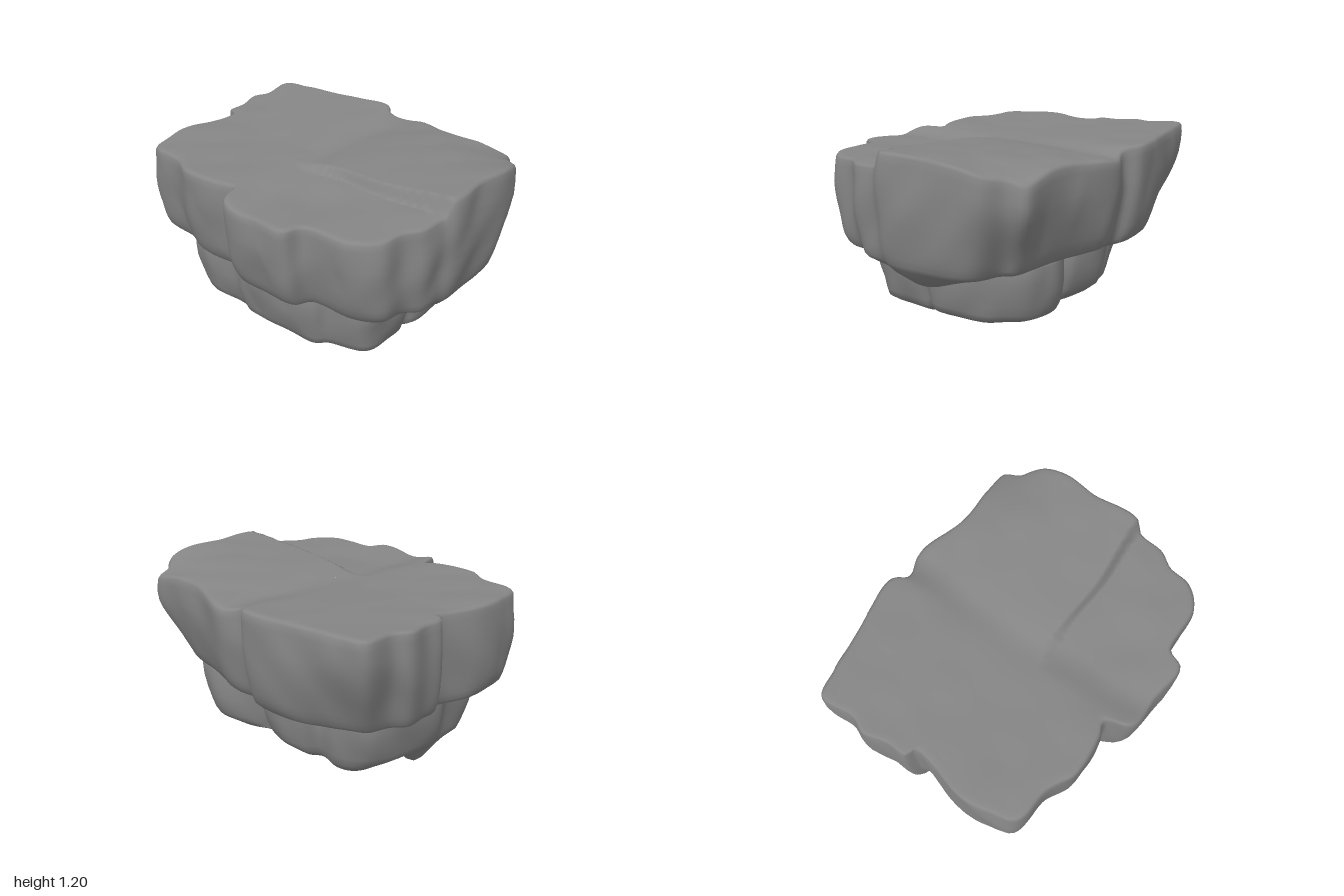
import * as THREE from 'three';

const SEGMENTS = 240;
const material = new THREE.MeshStandardMaterial({ color: 0x868686 });
const { smoothstep, lerp } = THREE.MathUtils;
const bump = (x, z, cx, cz, r) => Math.exp(-((x - cx) ** 2 + (z - cz) ** 2) / (r * r));

// Soft, repeatable unevenness, with sharper chiselled valleys mixed in
const rough = (x, y, z) =>
  Math.sin(7 * x + 3 * y + 1) * Math.sin(6 * z - 4 * y + 2) * 0.5 +
  Math.sin(15 * x - 9 * y) * Math.sin(14 * z + 8 * y + 1) * 0.4 +
  (Math.abs(Math.sin(9 * x + 5 * z + 4 * y)) - 0.6) * Math.sin(8 * z - 6 * x + 7 * y) * 0.7;

// Closed rock from a plan outline and rings of [x scale, z scale, level];
// shape(x, z, level) gives each vertex as [x, y, z].
function rockLayer(name, outline, rings, shape, roughness) {
  const curve = new THREE.CatmullRomCurve3(
    outline.map(([x, z]) => new THREE.Vector3(x, 0, z)), true, 'centripetal');
  const plan = curve.getSpacedPoints(SEGMENTS).slice(0, SEGMENTS);
  const meanRadius = plan.reduce((sum, p) => sum + p.length(), 0) / SEGMENTS;
  const positions = [], index = [];
  rings.forEach(([sx, sz, level], i) => {
    // Inner rings turn round, so outline notches stay at the rim
    const round = 1 - smoothstep(sx, 0.35, 0.93);
    plan.forEach((p, j) => {
      const len = p.length();
      const k = lerp(1, meanRadius / len, round);
      const [x, y, z] = shape(p.x * k * sx, p.z * k * sz, level);
      const n = rough(x, y, z) * roughness * Math.min(1, sx * 1.2);
      positions.push(x + (p.x / len) * n * sx, y + n * 0.4, z + (p.z / len) * n * sz);
      if (i < rings.length - 1) {
        const next = (j + 1) % SEGMENTS;
        const a = i * SEGMENTS + j, b = i * SEGMENTS + next;
        index.push(a, b, a + SEGMENTS, b, b + SEGMENTS, a + SEGMENTS);
      }
    });
  });
  const geometry = new THREE.BufferGeometry();
  geometry.setAttribute('position', new THREE.Float32BufferAttribute(positions, 3));
  geometry.setIndex(index);
  geometry.computeVertexNormals();
  const mesh = new THREE.Mesh(geometry, material);
  mesh.name = name;
  return mesh;
}

// Top of the slab: tilted plates with a step along the front left one
function slabTop(x, z) {
  const left = smoothstep(x, -0.14, 0.08);
  const lowPlate = 1.113 + 0.02 * Math.abs(x) + 0.05 * Math.max(0, -z);
  const highPlate = 1.137 + 0.06 * x - 0.06 * (z + 0.1) ** 2 - 0.075 * bump(x, z, 0.9, -0.76, 0.24);
  const frontPlate = 1.1 - 0.015 * z - 0.02 * bump(x, z, 0.25, 0.45, 0.2);
  const ledge = smoothstep(z + 0.012 * Math.sin(x * 9), 0.15, 0.18);
  const valley = 0.015 * Math.exp(-((x / 0.12) ** 2));
  return lerp(lowPlate, lerp(highPlate, frontPlate, ledge), left) - valley;
}

// Slab walls draw in at the back corners; the underside sags on the left
function slabShape(x, z, t) {
  const wall = smoothstep(t, 0.15, 1);
  const cornerLeft = bump(x, z, 0.86, -0.7, 0.27);
  const cornerRight = bump(x, z, -0.93, -0.68, 0.27);
  const pull = 1 - wall * (0.15 * cornerLeft + 0.1 * cornerRight);
  const sag = 0.1 * smoothstep(t, 0.98, 1.06) * bump(x, z, 0.72, 0, 0.25);
  const bottom = 0.56 + 0.01 * Math.sin(5 * x) - 0.02 * bump(x, z, 0.95, 0, 0.25);
  return [x * pull, lerp(slabTop(x, z), bottom, t) - sag, z * pull];
}

function createSlab() {
  const outline = [
    [-0.96, -0.7], [-0.8, -0.75], [-0.66, -0.77], [-0.5, -0.81], [-0.25, -0.84], [-0.15, -0.83],
    [-0.1, -0.78], [0.05, -0.81], [0.2, -0.79], [0.4, -0.74], [0.6, -0.73], [0.82, -0.73],
    [0.86, -0.63], [0.97, -0.55], [1, -0.4], [0.98, -0.1], [0.975, 0.13], [0.945, 0.19],
    [0.94, 0.35], [0.87, 0.45], [0.84, 0.6], [0.7, 0.7], [0.42, 0.72], [0.36, 0.82],
    [0.2, 0.82], [-0.1, 0.78], [-0.17, 0.65], [-0.25, 0.67], [-0.5, 0.68], [-0.68, 0.61],
    [-0.92, 0.57], [-0.96, 0.4], [-0.97, 0.2], [-0.9, -0.1], [-0.96, -0.13], [-0.97, -0.25],
    [-1, -0.4], [-0.96, -0.5],
  ];
  const rings = [];
  for (let i = 0; i <= 32; i++) {
    const s = Math.max(0.001, (0.965 * i) / 32);
    rings.push([s, s, 0]);
  }
  rings.push(
    [0.978, 0.982, 0.01], [0.985, 0.995, 0.035], [0.99, 1, 0.1], [0.995, 1, 0.2], [1, 1, 0.3],
    [1, 0.995, 0.4], [1, 0.985, 0.5], [0.995, 0.975, 0.6], [0.99, 0.96, 0.7], [0.983, 0.945, 0.8],
    [0.975, 0.925, 0.88], [0.962, 0.9, 0.95], [0.945, 0.87, 0.99], [0.9, 0.82, 1.02],
    [0.8, 0.74, 1.06], [0.6, 0.55, 1.08], [0.001, 0.001, 1.08]);
  return rockLayer('upperSlab', outline, rings, slabShape, 0.016);
}

// The base hangs lower to the front and at its back right chunk,
// with a pointed knob on the right
function baseShape(x, z, y) {
  const under = 1 - smoothstep(y, 0.18, 0.35);
  const drop = 0.04 * z + 0.17 * bump(x, z, -0.5, 0.2, 0.12)
    + 0.02 * bump(x, z, 0.2, 0, 0.16) - 0.03 * bump(x, z, -0.25, -0.15, 0.14)
    + 0.07 * bump(x, z, -0.45, -0.36, 0.2);
  return [x, y - under * drop, z];
}

function createBase() {
  const outline = [
    [-0.74, -0.3], [-0.68, -0.4], [-0.5, -0.47], [-0.36, -0.47], [-0.3, -0.56], [-0.15, -0.59],
    [0.05, -0.55], [0.13, -0.46], [0.22, -0.58], [0.4, -0.64], [0.56, -0.6], [0.65, -0.48],
    [0.72, -0.38], [0.73, -0.12], [0.72, 0.03], [0.68, 0.08], [0.71, 0.14], [0.7, 0.28],
    [0.66, 0.46], [0.42, 0.54], [0.36, 0.59], [0.1, 0.6], [-0.2, 0.59], [-0.28, 0.55],
    [-0.56, 0.54], [-0.72, 0.45], [-0.74, 0.2], [-0.77, 0.12], [-0.77, -0.15],
  ];
  const rings = [
    [0.001, 0.001, 0.62], [0.8, 0.8, 0.62], [0.98, 0.98, 0.62], [1, 1, 0.56], [1, 1, 0.48],
    [0.985, 0.99, 0.4], [0.965, 0.965, 0.33], [0.945, 0.935, 0.27], [0.925, 0.905, 0.23],
    [0.88, 0.85, 0.205], [0.82, 0.79, 0.18],
  ];
  // Rounded underside
  for (let i = 1; i <= 18; i++) {
    const s = Math.max(0.001, 0.81 * (1 - i / 18));
    rings.push([s, s * 0.98, 0.068 + 0.112 * smoothstep(s, 0.2, 0.85)]);
  }
  return rockLayer('lowerBase', outline, rings, baseShape, 0.02);
}

export function createModel() {
  const group = new THREE.Group();
  group.name = 'layeredRock';
  group.add(createSlab(), createBase());
  return group;
}
